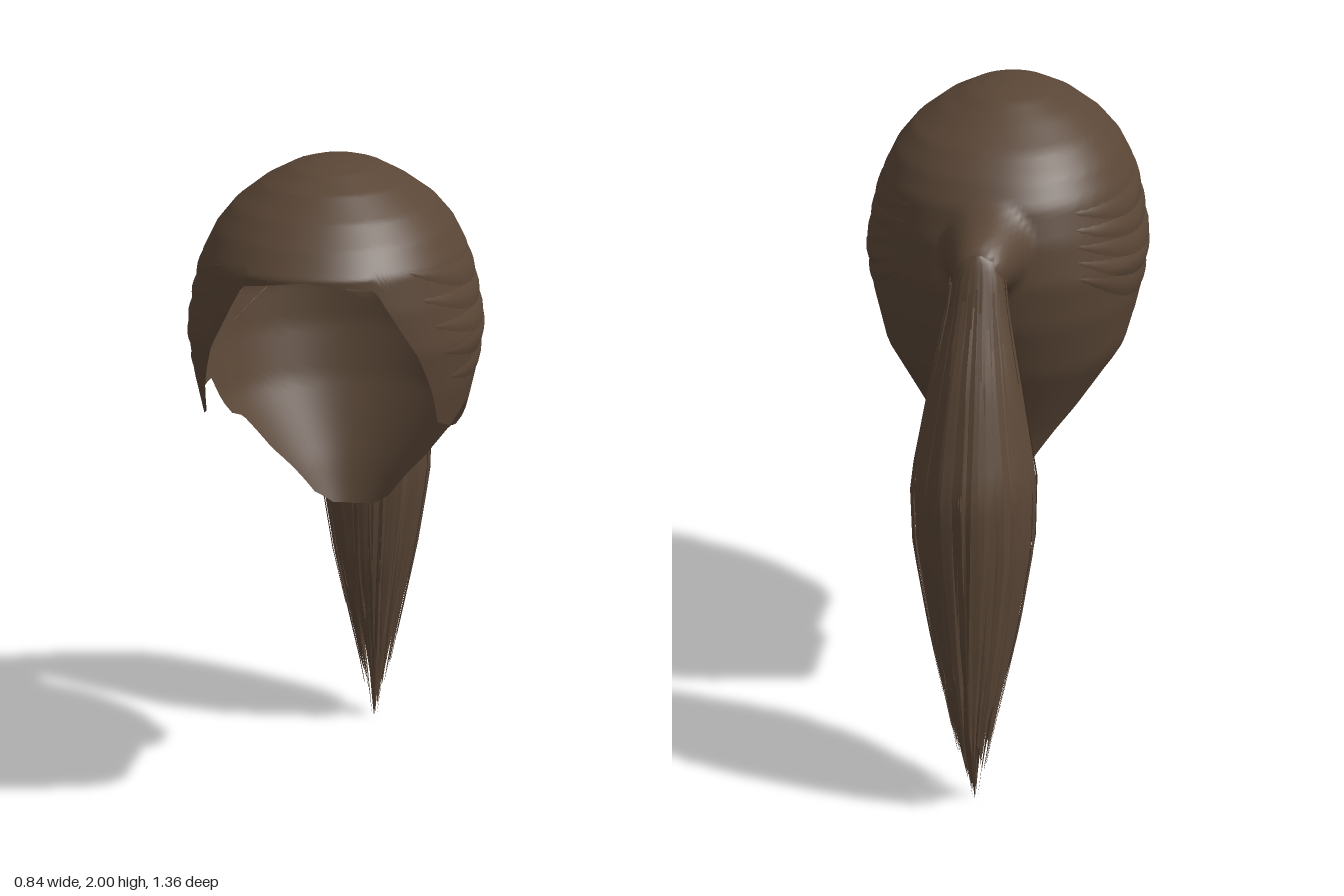
import * as THREE from 'three';
import { mergeGeometries } from 'three/addons/utils/BufferGeometryUtils.js';

// Cap cross-sections: [y, half width, front z, back z]
const CAP = [
  [2, 0, 0.22, 0.22], [1.995, 0.06, 0.33, 0.13], [1.98, 0.12, 0.4, 0.07], [1.94, 0.2, 0.49, 0],
  [1.88, 0.28, 0.57, -0.1], [1.82, 0.33, 0.63, -0.165], [1.75, 0.365, 0.685, -0.215],
  [1.65, 0.392, 0.69, -0.245], [1.53, 0.415, 0.68, -0.26], [1.4, 0.4, 0.66, -0.25],
  [1.24, 0.365, 0.64, -0.21], [1.0, 0.225, 0.55, -0.12], [0.87, 0.16, 0.5, -0.08],
];
// Hairline: [angle from the front in degrees, y]
const RIM = [
  [0, 1.745], [27, 1.72], [36, 1.6], [48, 1.45], [58, 1.31], [69, 1.28], [81, 1.32], [96, 1.32],
  [104, 1.2], [111, 1.18], [121, 1.07], [144, 0.92], [160, 0.88], [180, 0.875],
];
// Ponytail cross-sections: [y, front z, back z, half width]
const TAIL = [
  [1.685, -0.39, -0.41, 0.015], [1.67, -0.35, -0.425, 0.055], [1.62, -0.33, -0.45, 0.075],
  [1.53, -0.325, -0.49, 0.085], [1.35, -0.325, -0.57, 0.12], [1.05, -0.3, -0.67, 0.172],
  [0.85, -0.285, -0.67, 0.168], [0.6, -0.31, -0.655, 0.13], [0.4, -0.36, -0.635, 0.09],
  [0.2, -0.42, -0.6, 0.05], [0, -0.475, -0.505, 0.012],
];

// Linear lookup in a table sorted by its first column
function lookup(table, key) {
  const dir = Math.sign(table[1][0] - table[0][0]);
  let i = 0;
  while (i < table.length - 2 && (key - table[i + 1][0]) * dir > 0) i++;
  const a = table[i], b = table[i + 1];
  const t = THREE.MathUtils.clamp((key - a[0]) / (b[0] - a[0]), 0, 1);
  return a.map((v, k) => v + (b[k] - v) * t);
}

// Surface through fn(u, v) -> [x, y, z]; closed joins the last column to the first
function grid(nu, nv, closed, fn) {
  const pos = [], index = [], cols = closed ? nu : nu + 1;
  for (let j = 0; j <= nv; j++)
    for (let i = 0; i < cols; i++) pos.push(...fn(i / nu, j / nv));
  for (let j = 0; j < nv; j++)
    for (let i = 0; i < nu; i++) {
      const a = j * cols + i, b = j * cols + (i + 1) % cols;
      index.push(a, a + cols, b, b, a + cols, b + cols);
    }
  const g = new THREE.BufferGeometry();
  g.setAttribute('position', new THREE.Float32BufferAttribute(pos, 3));
  g.setIndex(index);
  g.computeVertexNormals();
  return g;
}

const bulge = (v) => Math.sign(v) * Math.abs(v) ** 0.92;

// Point on the cap, drawn out at the back into the root of the ponytail
function capPoint(angle, y, lift = 0) {
  const [, w, front, back] = lookup(CAP, y);
  const s = Math.sin(angle), c = Math.cos(angle);
  const x = (w + lift) * bulge(s);
  let z = 0.22 + ((c > 0 ? front - 0.22 : 0.22 - back) + lift) * bulge(c);
  if (c < 0) {
    const r = Math.hypot(x, y - 1.635);
    z -= 0.17 * (1 - THREE.MathUtils.smoothstep(r, 0.055, 0.135));
  }
  return [x, y, z];
}

function rimY(angle) {
  const deg = Math.abs(THREE.MathUtils.radToDeg(angle));
  return lookup(RIM, deg > 180 ? 360 - deg : deg)[1];
}

// Point on the ponytail; k scales the section about its middle
function tailPoint(angle, y, k) {
  const [, front, back, w] = lookup(TAIL, y);
  return [w * k * Math.sin(angle), y, (front + back) / 2 + (front - back) / 2 * k * Math.cos(angle)];
}

let seed = 7;
function rand() {
  seed = (seed * 16807) % 2147483647;
  return seed / 2147483647;
}

// Thin tapering strand lying along the ponytail
function strand(angle, k, top, end, width) {
  const sway = (rand() - 0.5) * 0.35, tilt = (rand() - 0.5) * 0.06;
  return grid(2, 16, false, (u, v) => {
    const y = top + (end - top) * v;
    const half = width * (1 - v ** 3) * (0.4 + 0.6 * Math.min(1, v * 4));
    const p = tailPoint(angle + sway * v * v, y, k + tilt * (u - 0.5));
    const side = (u - 0.5) * 2 * half;
    p[0] += side * Math.cos(angle);
    p[2] -= side * Math.sin(angle);
    return p;
  });
}

export function createModel() {
  const model = new THREE.Group();
  const hair = new THREE.MeshStandardMaterial({ color: 0x5a4636, side: THREE.DoubleSide });
  hair.name = 'brown hair';
  const add = (name, geometry) => {
    const mesh = new THREE.Mesh(geometry, hair);
    mesh.name = name;
    model.add(mesh);
  };

  // Open cap with a shaped hairline
  add('hairCap', grid(180, 64, true, (u, v) => {
    const a = u * Math.PI * 2;
    return capPoint(a, 2 - (2 - rimY(a)) * v ** 1.6);
  }));

  // Thin locks combed back over both sides of the cap
  const locks = [];
  for (const side of [-1, 1])
    for (let i = 0; i < 5; i++) {
      const startY = 1.76 - i * 0.08, endY = 1.73 - i * 0.045;
      const from = 0.7 + i * 0.08, to = 2.55;
      locks.push(grid(16, 4, false, (u, v) => {
        const y = startY + (endY - startY) * u - 0.05 * Math.sin(u * Math.PI)
          + (v - 0.5) * 0.08 * Math.sin(Math.PI * u);
        return capPoint(side * (from + (to - from) * u), y, 0.007 * Math.sin(Math.PI * u) * Math.sin(Math.PI * v));
      }));
    }
  add('sideLocks', mergeGeometries(locks));

  // Ridged body of the ponytail with a ragged end
  add('ponytail', grid(120, 40, true, (u, v) => {
    const a = u * Math.PI * 2;
    const end = 0.16 + 0.14 * Math.abs(Math.sin(a * 3.5)) + 0.07 * Math.sin(a * 11);
    const ridge = 0.93 + (0.03 * Math.cos(a * 20) + 0.015 * Math.cos(a * 33)) * Math.min(1, v * 3);
    return tailPoint(a, 1.685 + (end - 1.685) * v ** 1.2, ridge);
  }));

  // Loose strands around the body
  const strands = [];
  for (let i = 0; i < 120; i++) {
    const a = (i + rand() * 0.6) / 120 * Math.PI * 2;
    strands.push(strand(a, 0.93 + rand() * 0.1, 1.62 - rand() * 0.3, 0.12 + rand() * 0.4, 0.006 + rand() * 0.006));
  }
  add('looseStrands', mergeGeometries(strands));

  // Inner strands forming the pointed tip
  const tips = [];
  for (let i = 0; i < 20; i++)
    tips.push(strand(i / 20 * Math.PI * 2, 0.35 + 0.5 * rand(), 0.7, i % 5 ? 0.03 + rand() * 0.2 : 0, 0.016));
  add('tipStrands', mergeGeometries(tips));

  return model;
}
